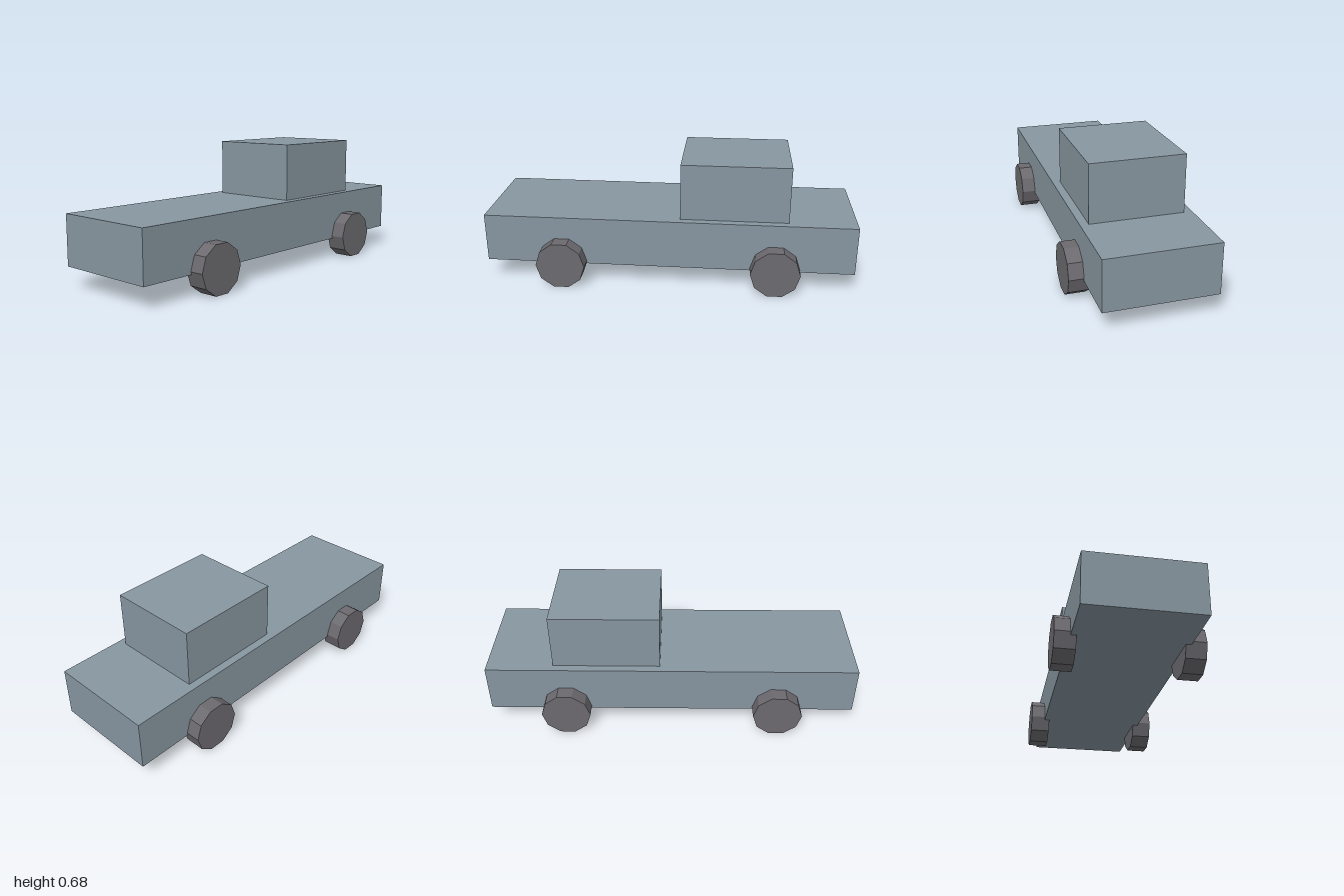
import * as THREE from 'three';

export function createModel() {
  const group = new THREE.Group();
  const paint = new THREE.MeshStandardMaterial({ color: 0x8796a0, flatShading: true });
  paint.name = 'blue grey paint';
  const rubber = new THREE.MeshStandardMaterial({ color: 0x6c6a6f, flatShading: true });
  rubber.name = 'dark grey rubber';

  const add = (name, geometry, material, x, y, z) => {
    const mesh = new THREE.Mesh(geometry, material);
    mesh.name = name;
    mesh.position.set(x, y, z);
    group.add(mesh);
  };

  // Long low body with the cab towards +x
  add('body', new THREE.BoxGeometry(2, 0.266, 0.576), paint, 0, 0.244, 0);
  add('cab', new THREE.BoxGeometry(0.578, 0.306, 0.49), paint, 0.352, 0.53, 0);

  // Ten-sided wheels resting on a flat side
  const radius = 0.133;
  const wheel = new THREE.CylinderGeometry(radius, radius, 0.105, 10, 1, false, Math.PI / 2);
  wheel.rotateX(Math.PI / 2);
  const axleHeight = radius * Math.cos(Math.PI / 10);
  for (const [end, x] of [['cabEnd', 0.576], ['tailEnd', -0.579]]) {
    for (const [side, z] of [['Front', 0.312], ['Back', -0.312]]) {
      add(`${end}${side}Wheel`, wheel, rubber, x, axleHeight, z);
    }
  }
  return group;
}
